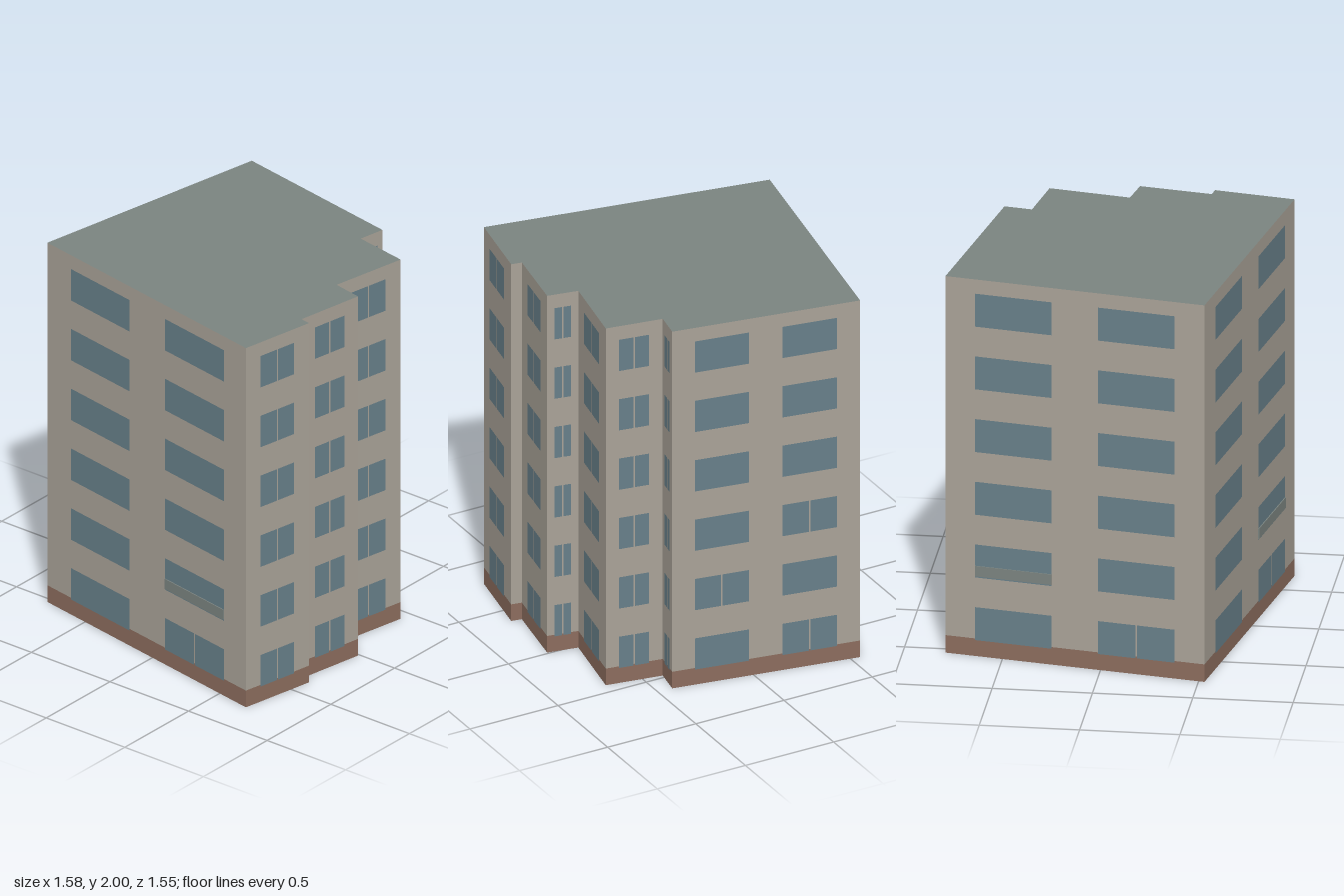
import * as THREE from 'three';

const mat = (color) => new THREE.MeshStandardMaterial({ color });
const wallMat = mat(0xaaa398);
const plinthMat = mat(0x8c6d5e);
const roofMat = mat(0x7b8480);
const glassMat = mat(0x68808a);

// Footprint corners as [x, z], starting at the back
const corners = [
  [-0.53, -0.78], [0.79, -0.55], [0.62, 0.42], [0.48, 0.395], [0.43, 0.69],
  [0.02, 0.615], [-0.01, 0.775], [-0.375, 0.713], [-0.385, 0.768], [-0.79, 0.695],
];
const FLOORS = 6, PLINTH = 0.093, FLOOR_H = 0.333, SILL_Y = 0.085, WIN_H = 0.175;

// Windows per wall as start and end fractions; split lists the floors with a two-pane window
const all = [0, 1, 2, 3, 4, 5];
const stepped = [{ from: 0.24, to: 0.77, split: all }];
const facades = [
  { name: 'backWall', windows: [
    { from: 0.115, to: 0.41, split: [0] }, { from: 0.59, to: 0.885, split: [], ledge: 1 }] },
  { name: 'rightWall', windows: [
    { from: 0.125, to: 0.415, split: [0, 2] }, { from: 0.593, to: 0.88, split: [1] }] },
  { name: 'frontWallRight', windows: stepped },
  { name: 'returnWallRight', windows: stepped },
  { name: 'frontWallMiddleRight', windows: stepped },
  { name: 'returnWallMiddle', windows: stepped },
  { name: 'frontWallMiddleLeft', windows: stepped },
  { name: 'returnWallLeft', windows: [] },
  { name: 'frontWallLeft', windows: stepped },
  { name: 'leftWall', windows: [
    { from: 0.11, to: 0.405, split: [0], ledge: 1 }, { from: 0.585, to: 0.88, split: [] }] },
];

// Vertical prism over the footprint
function prism(name, y0, y1, capMat, sideMat) {
  const shape = new THREE.Shape(corners.map(([x, z]) => new THREE.Vector2(x, -z)));
  const geo = new THREE.ExtrudeGeometry(shape, { depth: y1 - y0, bevelEnabled: false });
  geo.rotateX(-Math.PI / 2);
  geo.translate(0, y0, 0);
  const mesh = new THREE.Mesh(geo, [capMat, sideMat]);
  mesh.name = name;
  return mesh;
}

// Group whose local x runs along the wall and local z points outwards
function facade({ name, windows }, p, q) {
  const dx = q[0] - p[0], dz = q[1] - p[1], len = Math.hypot(dx, dz);
  const group = new THREE.Group();
  group.name = name;
  group.position.set((p[0] + q[0]) / 2, 0, (p[1] + q[1]) / 2);
  group.rotation.y = Math.atan2(dz, -dx);
  // local x runs from q to p
  const along = (f) => (0.5 - f) * len;

  const pane = (f0, f1, y) => {
    const mesh = new THREE.Mesh(new THREE.PlaneGeometry((f1 - f0) * len, WIN_H), glassMat);
    mesh.position.set(along((f0 + f1) / 2), y + WIN_H / 2, 0.002);
    mesh.name = 'windowPane';
    group.add(mesh);
  };

  for (const { from, to, split, ledge } of windows) {
    const mid = (from + to) / 2, gap = 0.004 / len;
    for (let i = 0; i < FLOORS; i++) {
      const y = SILL_Y + i * FLOOR_H;
      if (split.includes(i)) {
        pane(from, mid - gap, y);
        pane(mid + gap, to, y);
      } else pane(from, to, y);
    }
    // Shallow ledge across the foot of one window
    if (ledge !== undefined) {
      const mesh = new THREE.Mesh(new THREE.BoxGeometry((to - from) * len, 0.055, 0.014), roofMat);
      mesh.position.set(along(mid), SILL_Y + ledge * FLOOR_H + 0.035, 0);
      mesh.name = 'windowLedge';
      group.add(mesh);
    }
  }
  return group;
}

export function createModel() {
  const model = new THREE.Group();
  model.name = 'apartmentBlock';
  model.add(prism('plinth', 0, PLINTH, wallMat, plinthMat));
  model.add(prism('wallsAndRoof', PLINTH, 2, roofMat, wallMat));
  facades.forEach((f, i) => model.add(facade(f, corners[i], corners[(i + 1) % corners.length])));
  return model;
}
